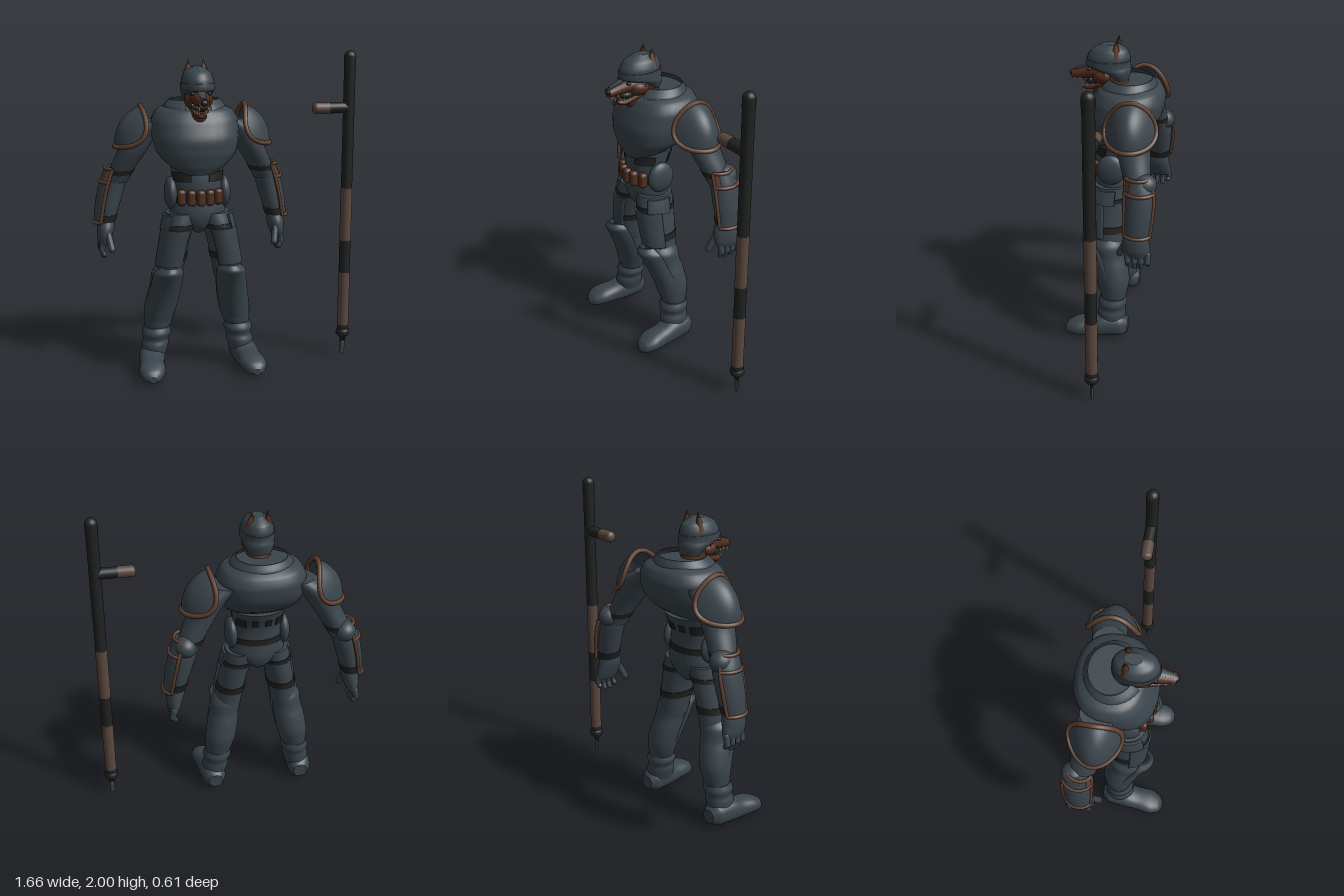
import * as THREE from 'three';
import { RoundedBoxGeometry } from 'three/addons/geometries/RoundedBoxGeometry.js';
import { ParametricGeometry } from 'three/addons/geometries/ParametricGeometry.js';

const V = (x, y, z) => new THREE.Vector3(x, y, z);
const paint = (name, color) => {
  const m = new THREE.MeshStandardMaterial({ color, side: THREE.DoubleSide });
  m.name = name;
  return m;
};

// Sections are [x, y, z, rx, rz] stacked along y, or [x, y, z, rx, ry] along z.
function sampler(secs, axis, e) {
  const mid = new THREE.CatmullRomCurve3(secs.map(s => V(s[0], s[1], s[2])));
  const rad = new THREE.CatmullRomCurve3(secs.map(s => V(s[3], s[4], 0)));
  const pow = v => Math.sign(v) * Math.abs(v) ** (2 / e);
  return (i, a, grow, scale = 1) => {
    const t = i / (secs.length - 1), p = mid.getPoint(t), r = rad.getPoint(t);
    const c = pow(Math.cos(a)) * (r.x + grow) * scale, s = pow(Math.sin(a)) * (r.y + grow) * scale;
    return axis === 'z' ? V(p.x + c, p.y + s, p.z) : V(p.x + c, p.y, p.z + s);
  };
}

// Smooth skin through sections; from/to are section indices, arc is in degrees.
function loft(secs, { axis = 'y', e = 2, from = 0, to = secs.length - 1, grow = 0, arc = null, floor = -9 } = {}) {
  const at = sampler(secs, axis, e), rows = [], angles = [];
  const m = Math.max(3, Math.round((to - from) * 5)), n = 28;
  for (let i = 0; i <= m; i++) rows.push({ t: from + (to - from) * i / m, s: 1, lip: false });
  rows.unshift({ t: from, s: arc ? 1 : 0, lip: true }, { t: from, s: 1, lip: false });
  rows.push({ t: to, s: 1, lip: false }, { t: to, s: arc ? 1 : 0, lip: true });
  const [a0, a1] = (arc || [0, 360]).map(THREE.MathUtils.degToRad);
  for (let j = 0; j <= n - (arc ? 0 : 1); j++) angles.push({ a: a0 + (a1 - a0) * j / n, lip: false });
  if (arc) { angles.unshift({ a: a0, lip: true }); angles.push({ a: a1, lip: true }); }
  const pos = [], idx = [], w = angles.length;
  for (const r of rows) for (const q of angles) {
    const p = at(r.t, q.a, arc && (r.lip || q.lip) ? 0 : grow, r.s);
    pos.push(p.x, Math.max(floor, p.y), p.z);
  }
  const k = axis === 'z' ? 2 : 1;
  const flip = (secs[secs.length - 1][k] < secs[0][k]) !== (axis === 'z');
  for (let i = 0; i < rows.length - 1; i++) for (let j = 0; j < (arc ? w - 1 : w); j++) {
    const a = i * w + j, b = i * w + (j + 1) % w, c = a + w, d = b + w;
    idx.push(...(flip ? [a, b, c, b, d, c] : [a, c, b, b, c, d]));
  }
  const g = new THREE.BufferGeometry();
  g.setAttribute('position', new THREE.Float32BufferAttribute(pos, 3));
  g.setIndex(idx);
  g.computeVertexNormals();
  return g;
}

const tube = (pts, r, closed = false) => new THREE.TubeGeometry(new THREE.CatmullRomCurve3(pts, closed), 48, r, 8, closed);
const place = (g, a, b) => {
  const q = new THREE.Quaternion().setFromUnitVectors(V(0, 1, 0), b.clone().sub(a).normalize());
  const c = a.clone().add(b).multiplyScalar(0.5);
  return g.applyQuaternion(q).translate(c.x, c.y, c.z);
};
const capsule = (a, b, r) => place(new THREE.CapsuleGeometry(r, a.distanceTo(b), 6, 14), a, b);
const cone = (a, b, r, n = 8) => place(new THREE.ConeGeometry(r, a.distanceTo(b), n), a, b);
const ball = (x, y, z, rx, ry, rz) => new THREE.SphereGeometry(1, 24, 16).scale(rx, ry, rz).translate(x, y, z);

function mirrored(g) {
  const m = g.clone(), p = m.attributes.position, n = m.attributes.normal, x = m.index;
  for (let i = 0; i < p.count; i++) { p.setX(i, -p.getX(i)); n.setX(i, -n.getX(i)); }
  for (let i = 0; i < x.count; i += 3) { const t = x.getX(i); x.setX(i, x.getX(i + 1)); x.setX(i + 1, t); }
  return m;
}

export function createModel() {
  const armour = paint('slate armour', 0x3a444b), black = paint('black strap', 0x202121);
  const trim = paint('copper trim', 0x5f4030), fur = paint('brown fur', 0x4f2d1d);
  const pouch = paint('leather pouch', 0x4f2f20), grip = paint('staff grip', 0x5a483f);
  const bone = paint('tooth white', 0xd8d4c8);
  const model = new THREE.Group(), body = new THREE.Group(), staff = new THREE.Group();
  model.name = 'armouredWarrior'; body.name = 'warrior'; staff.name = 'staff';
  model.add(body, staff);
  body.position.x = -0.19;
  const add = (name, g, mat, parent = body) => {
    const m = new THREE.Mesh(g, mat);
    m.name = name;
    parent.add(m);
  };
  const pair = (name, g, mat) => { add(name + 'Left', g, mat); add(name + 'Right', mirrored(g), mat); };

  // Torso
  const belly = [[0, 0.9, 0.03, 0.025, 0.06], [0, 0.95, 0.03, 0.1, 0.11], [0, 1.03, 0.03, 0.175, 0.125],
    [0, 1.12, 0.03, 0.16, 0.12], [0, 1.22, 0.03, 0.155, 0.125], [0, 1.34, 0, 0.17, 0.14]];
  add('abdomen', loft(belly), armour);
  add('belt', loft(belly, { from: 2.8, to: 3.2, grow: 0.006 }), black);
  pair('bellyStrap', loft(belly, { from: 4.08, to: 4.55, grow: 0.007, arc: [18, 70] }), black);
  pair('backPatch', loft(belly, { from: 4.2, to: 4.6, grow: 0.006, arc: [278, 292] }), black);
  pair('sidePatch', loft(belly, { from: 4.1, to: 4.6, grow: 0.006, arc: [305, 335] }), black);
  const chest = [[0, 1.275, 0.1, 0.09, 0.07], [0, 1.325, 0.055, 0.175, 0.135], [0, 1.4, 0.005, 0.245, 0.2],
    [0, 1.5, -0.035, 0.27, 0.237], [0, 1.59, -0.06, 0.268, 0.225], [0, 1.65, -0.068, 0.235, 0.192], [0, 1.685, -0.07, 0.16, 0.14]];
  add('breastplate', loft(chest, { e: 2.35 }), armour);
  const collar = [[0, 1.62, -0.05, 0.2, 0.18], [0, 1.675, -0.06, 0.185, 0.165], [0, 1.715, -0.07, 0.15, 0.13]];
  add('collar', loft(collar, { grow: 0.006, arc: [115, 425] }), armour);
  for (const x of [-0.114, -0.057, 0, 0.057, 0.114])
    add('beltPouch', new RoundedBoxGeometry(0.054, 0.1, 0.055, 3, 0.022).translate(x, 1.135, 0.172 - x * x * 3.2), pouch);
  pair('hipPlate', ball(0.165, 1.15, 0.03, 0.042, 0.1, 0.09), armour);

  // Head
  add('neck', capsule(V(0, 1.62, 0), V(0, 1.74, 0.04), 0.075), fur);
  add('throat', ball(0, 1.63, 0.1, 0.052, 0.065, 0.07), fur);
  const helm = [[0, 1.705, -0.01, 0.07, 0.05], [0, 1.75, 0.015, 0.092, 0.085], [0, 1.785, 0.067, 0.1, 0.134],
    [0, 1.84, 0.066, 0.098, 0.132], [0, 1.885, 0.06, 0.08, 0.11], [0, 1.92, 0.055, 0.035, 0.05]];
  add('helmet', loft(helm), armour);
  add('helmetBand', loft(helm, { from: 2, to: 2.75, grow: 0.005 }), armour);
  add('cheeks', ball(0, 1.725, 0.095, 0.088, 0.06, 0.085), fur);
  const snout = [[0, 1.745, 0.08, 0.085, 0.055], [0, 1.742, 0.17, 0.058, 0.046], [0, 1.728, 0.24, 0.042, 0.036], [0, 1.718, 0.295, 0.034, 0.027]];
  add('snout', loft(snout, { axis: 'z' }), fur);
  add('noseGuard', loft(snout, { axis: 'z', from: 0.6, to: 2.8, grow: 0.004, arc: [64, 116] }), armour);
  add('nose', ball(0, 1.724, 0.293, 0.022, 0.018, 0.017), black);
  const jaw = [[0, 1.69, 0.05, 0.065, 0.05], [0, 1.662, 0.13, 0.048, 0.03], [0, 1.64, 0.19, 0.035, 0.02], [0, 1.642, 0.228, 0.022, 0.014]];
  add('lowerJaw', loft(jaw, { axis: 'z' }), fur);
  add('mouth', ball(0, 1.685, 0.15, 0.042, 0.028, 0.075), black);
  pair('eye', ball(0.05, 1.768, 0.18, 0.014, 0.01, 0.014), black);
  for (let i = 0; i < 4; i++) {
    const z = 0.17 + i * 0.036, x = 0.048 - i * 0.007, y = 1.706 - i * 0.003, l = i === 3 ? 0.038 : 0.026;
    pair('upperTooth', cone(V(x, y, z), V(x, y - l, z), 0.007), bone);
    if (i < 3) pair('lowerTooth', cone(V(x - 0.014, 1.655 - i * 0.003, z - 0.01), V(x - 0.014, 1.682 - i * 0.003, z - 0.01), 0.006), bone);
  }
  pair('ear', cone(V(0.055, 1.845, 0.02), V(0.045, 1.962, 0.01), 0.038, 8), fur);

  // Shoulder pads: a dome whose front and back edges wrap inward
  const pad = (r, a) => {
    const u = 0.15 * r * Math.cos(a), s = r * Math.sin(a), n = 0.05 * (1 - r * r) - 0.1 * s * s;
    return V(0.41 + 0.55 * u + 0.83 * n, 1.55 - 0.83 * u + 0.55 * n, -0.115 + 0.155 * s);
  };
  pair('shoulderPad', new ParametricGeometry((u, v, p) => p.copy(pad(0.002 + u * 0.998, -v * Math.PI * 2)), 12, 40), armour);
  const rim = [...Array(24).keys()].map(i => pad(1, i / 12 * Math.PI));
  pair('shoulderTrim', tube(rim, 0.015, true), trim);

  // Arms
  const upper = [[0.22, 1.58, -0.12, 0.09, 0.1], [0.32, 1.5, -0.135, 0.105, 0.105], [0.38, 1.39, -0.145, 0.09, 0.1],
    [0.44, 1.28, -0.17, 0.08, 0.085], [0.48, 1.19, -0.19, 0.072, 0.075]];
  pair('upperArm', loft(upper), armour);
  pair('elbowStrap', loft(upper, { from: 3.1, to: 3.45, grow: 0.003 }), black);
  const fore = [[0.47, 1.28, -0.185, 0.06, 0.06], [0.495, 1.18, -0.2, 0.075, 0.078], [0.525, 1.06, -0.2, 0.07, 0.076], [0.553, 0.93, -0.195, 0.056, 0.066]];
  pair('forearm', loft(fore), armour);
  pair('wristStrap', loft(fore, { from: 2.6, to: 2.95, grow: 0.005 }), black);
  pair('elbowPad', ball(0.49, 1.235, -0.225, 0.068, 0.065, 0.075), armour);
  pair('bracer', loft(fore, { to: 2.95, grow: 0.02, arc: [-62, 62] }), armour);
  const edge = sampler(fore, 'y', 2), across = t => [-62, -35, -12, 12, 35, 62].map(d => edge(t, d * Math.PI / 180, 0.021));
  for (const t of [0, 0.85, 2.95]) pair('bracerTrim', tube(across(t), 0.011), trim);
  pair('bracerCuff', loft(fore, { from: 0.1, to: 0.8, grow: 0.023, arc: [35, 62] }), trim);
  for (const d of [-62, 62])
    pair('bracerEdge', tube([0, 1, 2, 2.95].map(t => edge(t, d * Math.PI / 180, 0.02)), 0.011), trim);

  // Hands
  pair('palm', loft([[0.548, 0.95, -0.19, 0.05, 0.06], [0.555, 0.89, -0.185, 0.055, 0.08], [0.565, 0.83, -0.19, 0.045, 0.085], [0.57, 0.785, -0.2, 0.028, 0.075]]), armour);
  for (let i = 0; i < 4; i++) {
    const z = -0.14 - i * 0.04, y = 0.715 + [0.015, 0, 0.003, 0.025][i];
    pair('finger', capsule(V(0.575, 0.81, z), V(0.585, 0.76, z - 0.002), 0.02), armour);
    pair('fingerTip', capsule(V(0.585, 0.76, z - 0.002), V(0.57, y, z), 0.016), armour);
  }
  pair('thumb', capsule(V(0.545, 0.87, -0.13), V(0.525, 0.775, -0.085), 0.022), armour);

  // Legs
  const thigh = [[0.1, 1.03, 0.035, 0.1, 0.115], [0.122, 0.95, 0.045, 0.098, 0.122], [0.147, 0.85, 0.045, 0.09, 0.118],
    [0.17, 0.73, 0.045, 0.088, 0.108], [0.19, 0.6, 0.04, 0.085, 0.1]];
  pair('thigh', loft(thigh), armour);
  pair('upperThighStrap', loft(thigh, { from: 0.85, to: 1.15, grow: 0.006 }), black);
  pair('lowerThighStrap', loft(thigh, { from: 2.6, to: 2.95, grow: 0.006 }), black);
  pair('thighPlate', loft(thigh, { from: 1.15, to: 3.2, grow: 0.017, arc: [10, 125] }), armour);
  pair('hipGuard', loft(thigh, { from: 0.15, to: 1.25, grow: 0.014, arc: [-20, 50] }), armour);
  const shin = [[0.19, 0.69, 0.05, 0.075, 0.09], [0.197, 0.64, 0.045, 0.1, 0.108], [0.21, 0.57, 0.03, 0.094, 0.1], [0.222, 0.5, 0.015, 0.1, 0.105],
    [0.24, 0.4, -0.005, 0.1, 0.1], [0.255, 0.3, -0.005, 0.085, 0.085], [0.262, 0.26, -0.005, 0.07, 0.075]];
  pair('shin', loft(shin), armour);
  const knee = [[0.19, 0.705, 0.13, 0.045, 0.06], [0.197, 0.66, 0.1, 0.085, 0.105], [0.207, 0.57, 0.06, 0.088, 0.1],
    [0.23, 0.44, 0.015, 0.09, 0.095], [0.25, 0.33, -0.005, 0.075, 0.085]];
  pair('kneeGuard', loft(knee, { grow: 0.01, arc: [5, 175] }), armour);
  pair('bootCuff', loft([[0.262, 0.285, -0.005, 0.08, 0.083], [0.265, 0.245, 0, 0.092, 0.095], [0.27, 0.205, 0, 0.08, 0.086],
    [0.275, 0.17, 0.005, 0.085, 0.092], [0.285, 0.1, 0.005, 0.075, 0.09]]), armour);
  pair('boot', loft([[0.29, 0.08, -0.105, 0.045, 0.045], [0.293, 0.085, -0.06, 0.075, 0.075], [0.3, 0.085, 0.04, 0.082, 0.08],
    [0.31, 0.07, 0.13, 0.078, 0.065], [0.32, 0.065, 0.22, 0.083, 0.055], [0.325, 0.05, 0.285, 0.058, 0.04], [0.326, 0.04, 0.31, 0.022, 0.02]],
  { axis: 'z', e: 2.3, floor: 0.02 }), armour);

  // Striped staff with a side handle and a hook at its foot
  staff.position.set(0.785, 0, 0.013);
  const stick = (name, y0, y1, r, mat) => add(name, new THREE.CylinderGeometry(r, r, y1 - y0, 28).translate(0, (y0 + y1) / 2, 0), mat, staff);
  stick('staffTop', 1.13, 1.92, 0.036, black);
  add('staffCap', capsule(V(0, 1.91, 0), V(0, 1.962, 0), 0.038), black, staff);
  stick('upperGrip', 0.785, 1.13, 0.037, grip);
  stick('staffBand', 0.57, 0.785, 0.036, black);
  stick('lowerGrip', 0.21, 0.57, 0.037, grip);
  stick('staffCollar', 0.18, 0.21, 0.037, black);
  add('staffKnob', ball(0, 0.158, 0, 0.045, 0.04, 0.045), black, staff);
  add('staffFerrule', cone(V(0, 0.15, 0), V(0, 0.085, 0), 0.038, 16), black, staff);
  add('hookRing', new THREE.TorusGeometry(0.015, 0.006, 8, 20).translate(0, 0.1, 0), black, staff);
  add('hook', capsule(V(0, 0.08, 0), V(0, 0.016, 0), 0.016).scale(1, 1, 0.5), armour, staff);
  const bar = (name, x0, x1, r, mat) => add(name, place(new THREE.CylinderGeometry(r, r, x1 - x0, 28), V(x0, 1.645, 0), V(x1, 1.645, 0)), mat, staff);
  bar('handleBase', -0.13, 0, 0.034, black);
  bar('handleGrip', -0.215, -0.13, 0.036, grip);
  add('handleEnd', ball(-0.212, 1.645, 0, 0.028, 0.036, 0.036), grip, staff);
  return model;
}
